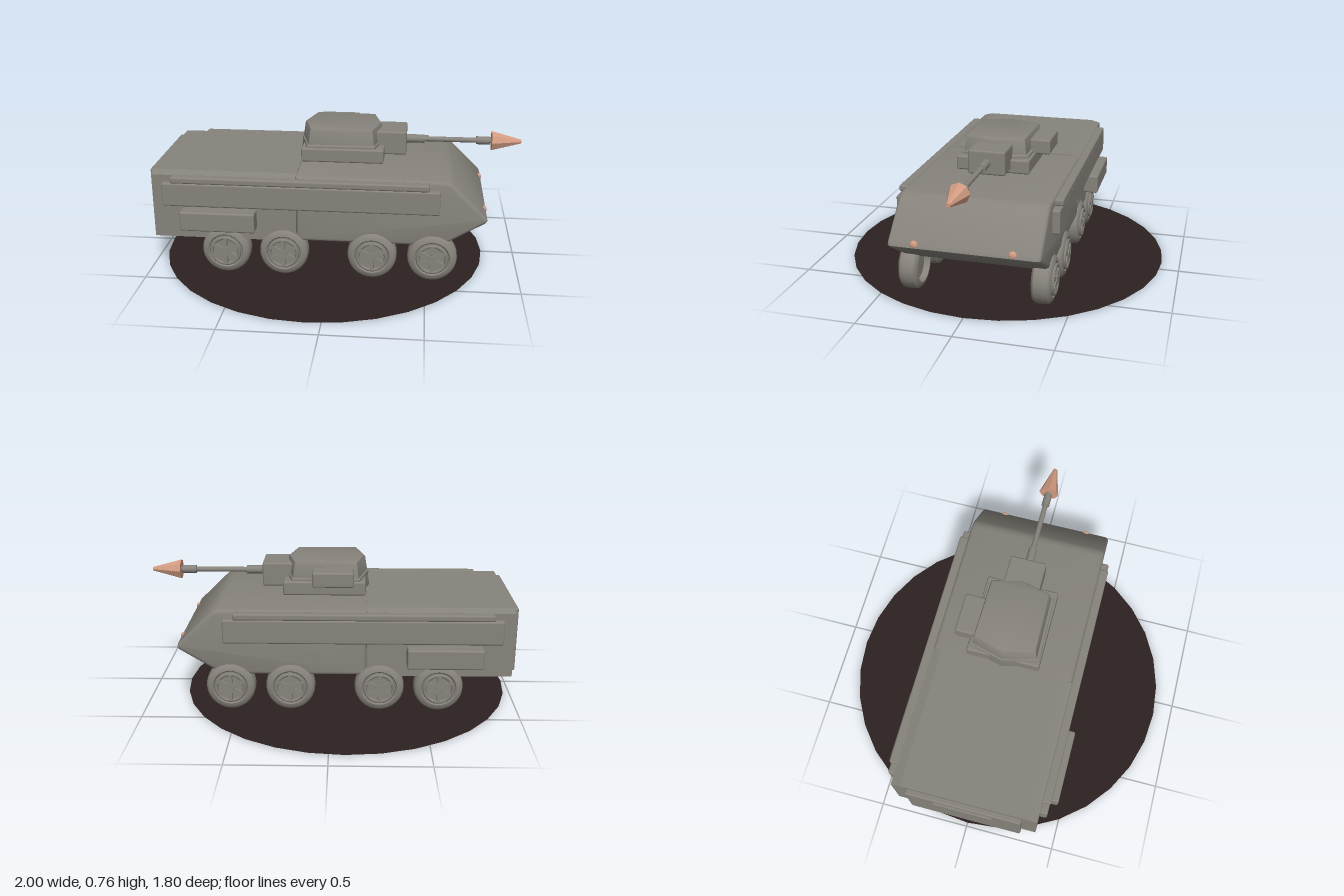
import * as THREE from 'three';
import { toCreasedNormals } from 'three/addons/utils/BufferGeometryUtils.js';
import { RoundedBoxGeometry } from 'three/addons/geometries/RoundedBoxGeometry.js';

export function createModel() {
  const model = new THREE.Group();
  const grey = new THREE.MeshStandardMaterial({ color: 0x87837c });
  grey.name = 'armourGrey';
  const copper = new THREE.MeshStandardMaterial({ color: 0xd39c82 });
  copper.name = 'copper';
  const dark = new THREE.MeshStandardMaterial({ color: 0x2c2222, side: THREE.DoubleSide });
  dark.name = 'darkGround';

  const add = (name, geometry, material = grey, parent = model) => {
    const mesh = new THREE.Mesh(geometry, material);
    mesh.name = name;
    parent.add(mesh);
    return mesh;
  };
  // Rounded box given by its limits on each axis
  const box = (name, [x0, x1], [y0, y1], [z0, z1], r = 0.01) => {
    const mesh = add(name, new RoundedBoxGeometry(x1 - x0, y1 - y0, z1 - z0, 2, r));
    mesh.position.set((x0 + x1) / 2, (y0 + y1) / 2, (z0 + z1) / 2);
    return mesh;
  };
  const polygon = (points) => new THREE.Shape(points.map(([x, y]) => new THREE.Vector2(x, y)));
  // Cylinder lying along x
  const rod = (name, x0, x1, r0, r1, sides, material) => {
    const geometry = new THREE.CylinderGeometry(r1, r0, x1 - x0, sides);
    geometry.rotateZ(-Math.PI / 2);
    const mesh = add(name, sides > 8 ? geometry : toCreasedNormals(geometry, 0.3), material);
    mesh.position.set((x0 + x1) / 2, 0.67, 0);
    return mesh;
  };

  // Round base disc
  const disc = add('groundDisc', new THREE.CircleGeometry(0.9, 32), dark);
  disc.rotation.x = -Math.PI / 2;
  disc.position.set(-0.08, 0.004, 0);

  // Rear hull with shallow chamfers along the roof
  const rear = new THREE.ExtrudeGeometry(
    polygon([[-0.39, 0.2], [0.39, 0.2], [0.39, 0.553], [0.34, 0.567], [-0.34, 0.567], [-0.39, 0.553]]),
    { depth: 0.77, bevelEnabled: false });
  rear.rotateY(Math.PI / 2);
  rear.translate(-0.96, 0, 0);
  add('rearHull', rear);

  // Front hull with a wedge nose and rounded side edges
  const front = new THREE.ExtrudeGeometry(
    polygon([[-0.19, 0.2], [0.58, 0.2], [0.805, 0.338], [0.814, 0.35], [0.807, 0.372],
      [0.635, 0.54], [0.61, 0.556], [0.58, 0.562], [-0.19, 0.562]]),
    { depth: 0.74, bevelThickness: 0.02, bevelSize: 0.02, bevelOffset: -0.02, bevelSegments: 3 });
  front.translate(0, 0, -0.37);
  add('frontHull', toCreasedNormals(front, 0.6));

  // Rear door and its handle
  box('rearDoor', [-0.99, -0.955], [0.2, 0.555], [-0.31, 0.31]);
  box('doorHandle', [-1.0, -0.985], [0.48, 0.525], [-0.16, 0.16], 0.005);

  // Tyre profile: radius and distance along the axle
  const tyre = new THREE.LatheGeometry(
    [[0.001, 0.03], [0.08, 0.03], [0.095, 0.0], [0.115, 0.004], [0.128, 0.016], [0.132, 0.035],
      [0.132, 0.07], [0.128, 0.089], [0.115, 0.102], [0.095, 0.106], [0.088, 0.098],
      [0.001, 0.098]].map(([r, y]) => new THREE.Vector2(r, y)), 32);
  tyre.rotateX(Math.PI / 2);
  const tyreGeometry = toCreasedNormals(tyre, 0.6);
  const rimGeometry = new THREE.TorusGeometry(0.076, 0.01, 6, 24);
  const hubGeometry = new THREE.CylinderGeometry(0.026, 0.026, 0.026, 12);
  hubGeometry.rotateX(Math.PI / 2);
  const spokeGeometry = new THREE.BoxGeometry(0.06, 0.02, 0.02);
  spokeGeometry.translate(0.046, 0, 0);

  for (const side of [1, -1]) {
    const label = side > 0 ? 'left' : 'right';
    const span = (a, b) => (side > 0 ? [a, b] : [-b, -a]);
    // Side armour, rail and storage box
    box(label + 'SideArmour', [-0.9, 0.565], [0.39, 0.52], span(0.385, 0.43));
    box(label + 'UpperRail', [-0.85, 0.508], [0.52, 0.556], span(0.385, 0.435));
    box(label + 'StorageBox', [-0.8, -0.4], [0.268, 0.376], span(0.385, 0.472));

    // Headlight
    const lamp = add(label + 'Headlight', new THREE.SphereGeometry(0.022, 12, 8), copper);
    lamp.scale.x = 0.6;
    lamp.position.set(0.803, 0.365, side * 0.25);

    // Four spoked wheels
    [-0.575, -0.26, 0.215, 0.535].forEach((x, i) => {
      const wheel = new THREE.Group();
      wheel.name = label + 'Wheel' + (i + 1);
      wheel.position.set(x, 0.132, side * 0.3);
      if (side < 0) wheel.rotation.y = Math.PI;
      add('tyre', tyreGeometry, grey, wheel);
      add('rim', rimGeometry, grey, wheel).position.z = 0.107;
      add('hub', hubGeometry, grey, wheel).position.z = 0.107;
      for (let s = 0; s < 6; s++) {
        const spoke = add('spoke', spokeGeometry, grey, wheel);
        spoke.position.z = 0.106;
        spoke.rotation.z = s * Math.PI / 3 + Math.PI / 6;
      }
      model.add(wheel);
    });
  }

  // Turret: square base, tapered six-sided body and a rim around it
  box('turretBase', [-0.185, 0.26], [0.583, 0.66], [-0.2, 0.2]);
  const hexagon = [[-0.2, 0], [-0.15, -0.182], [0.21, -0.175], [0.255, 0], [0.21, 0.175], [-0.15, 0.182]];
  const hexPrism = (height, bevel) => {
    const g = new THREE.ExtrudeGeometry(polygon(hexagon), {
      depth: height - 2 * bevel, bevelThickness: bevel, bevelSize: bevel,
      bevelOffset: -bevel, bevelSegments: 2 });
    g.rotateX(-Math.PI / 2);
    g.translate(0, bevel, 0);
    return g;
  };
  const body = hexPrism(0.177, 0.012);
  const p = body.attributes.position;
  for (let i = 0; i < p.count; i++) {
    const k = 1.04 - 0.12 * p.getY(i) / 0.177;
    p.setXYZ(i, 0.03 + (p.getX(i) - 0.03) * k, p.getY(i), p.getZ(i) * k);
  }
  body.computeVertexNormals();
  add('turretBody', toCreasedNormals(body, 0.5)).position.y = 0.583;
  const rim = add('turretRim', hexPrism(0.025, 0.006));
  rim.scale.set(1.01, 1, 1.06);
  rim.position.y = 0.65;
  box('sightBox', [-0.12, 0.1], [0.65, 0.732], [-0.278, -0.165]);

  // Gun
  box('mantlet', [0.2, 0.378], [0.605, 0.735], [-0.1, 0.1]);
  rod('barrelSleeve', 0.37, 0.475, 0.023, 0.023, 16);
  rod('barrel', 0.47, 0.765, 0.014, 0.014, 16);
  rod('muzzle', 0.757, 0.832, 0.022, 0.022, 16);
  rod('muzzleNeck', 0.83, 0.845, 0.014, 0.014, 16);
  rod('muzzleCone', 0.84, 1.0, 0.055, 0.011, 8, copper);

  return model;
}
